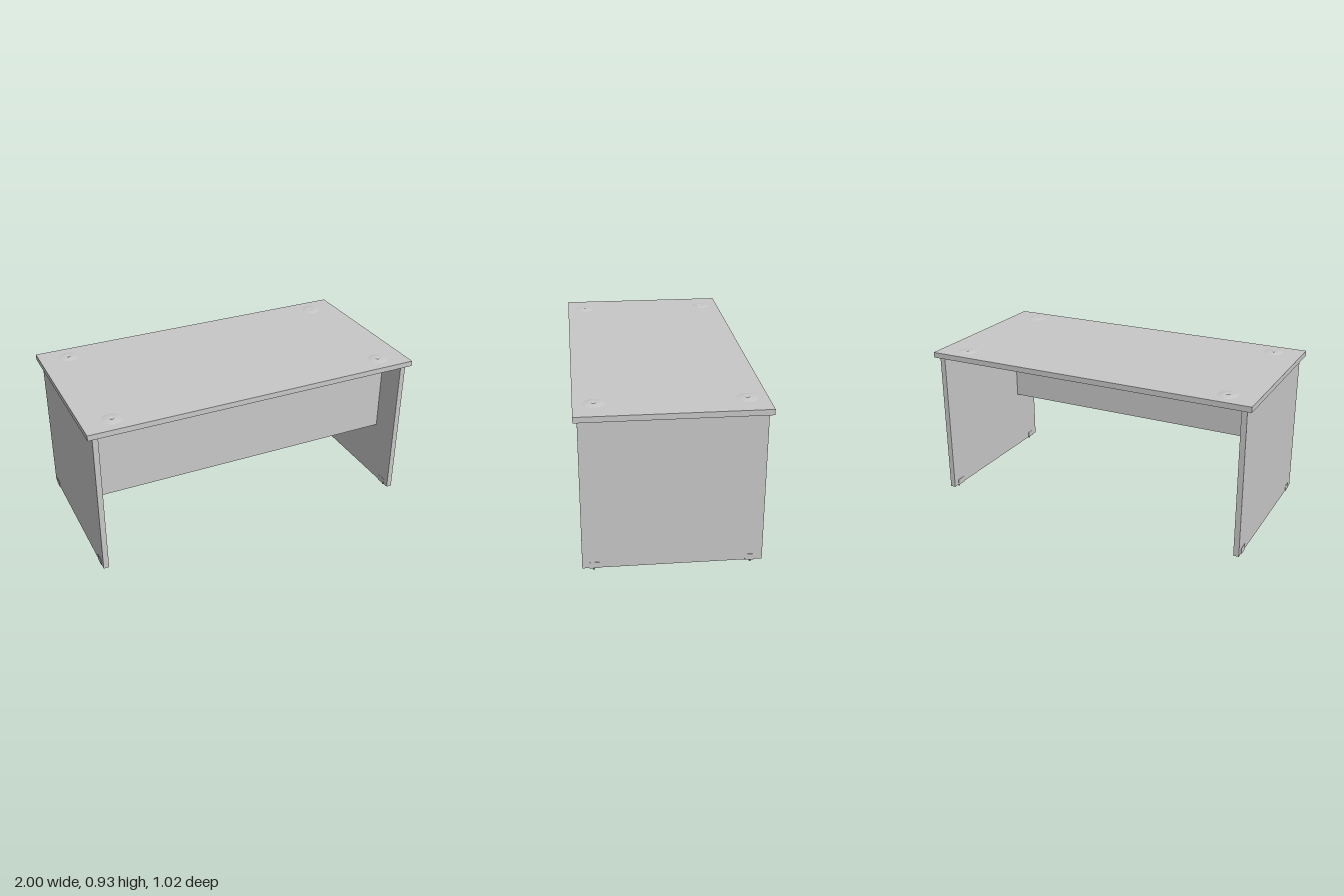
import * as THREE from 'three';

export function createModel() {
  const desk = new THREE.Group();
  desk.name = 'desk';
  const grey = new THREE.MeshStandardMaterial({ color: 0xc8c8c8 });
  grey.name = 'light grey';

  const add = (name, geometry, x, y, z) => {
    const mesh = new THREE.Mesh(geometry, grey);
    mesh.name = name;
    mesh.position.set(x, y, z);
    desk.add(mesh);
    return mesh;
  };
  const box = (name, w, h, d, x, y, z) => add(name, new THREE.BoxGeometry(w, h, d), x, y, z);

  // Worktop and modesty panel
  box('worktop', 2, 0.032, 1.022, 0, 0.906, 0);
  box('modestyPanel', 1.876, 0.5, 0.03, 0, 0.64, 0.295);

  // Shallow domed cable cap with a small recess in the middle
  const capProfile = [[0.058, 0], [0.057, 0.001], [0.04, 0.004], [0.022, 0.006], [0.011, 0.006], [0.009, 0.002], [0, 0.002]]
    .map(([r, y]) => new THREE.Vector2(r, y));
  const cap = new THREE.LatheGeometry(capProfile, 32);
  const collar = new THREE.CylinderGeometry(0.035, 0.035, 0.003, 32);
  const screw = new THREE.CylinderGeometry(0.004, 0.004, 0.022, 12);
  const pad = new THREE.CylinderGeometry(0.006, 0.006, 0.004, 12);

  for (const sx of [-1, 1]) {
    const side = sx > 0 ? 'left' : 'right';
    // Panel leg
    box(side + 'PanelLeg', 0.032, 0.87, 0.98, sx * 0.954, 0.455, 0);

    for (const sz of [-1, 1]) {
      // Cable port, above and below the worktop
      add('cableCap', cap, sx * 0.83, 0.9215, sz * 0.4);
      add('cableCollar', collar, sx * 0.83, 0.8895, sz * 0.4);

      // Levelling foot
      box('footBracket', 0.037, 0.036, 0.056, sx * 0.954, 0.0365, sz * 0.424);
      add('footScrew', screw, sx * 0.954, 0.012, sz * 0.428);
      add('footPad', pad, sx * 0.954, 0.002, sz * 0.428);
    }
  }
  return desk;
}
